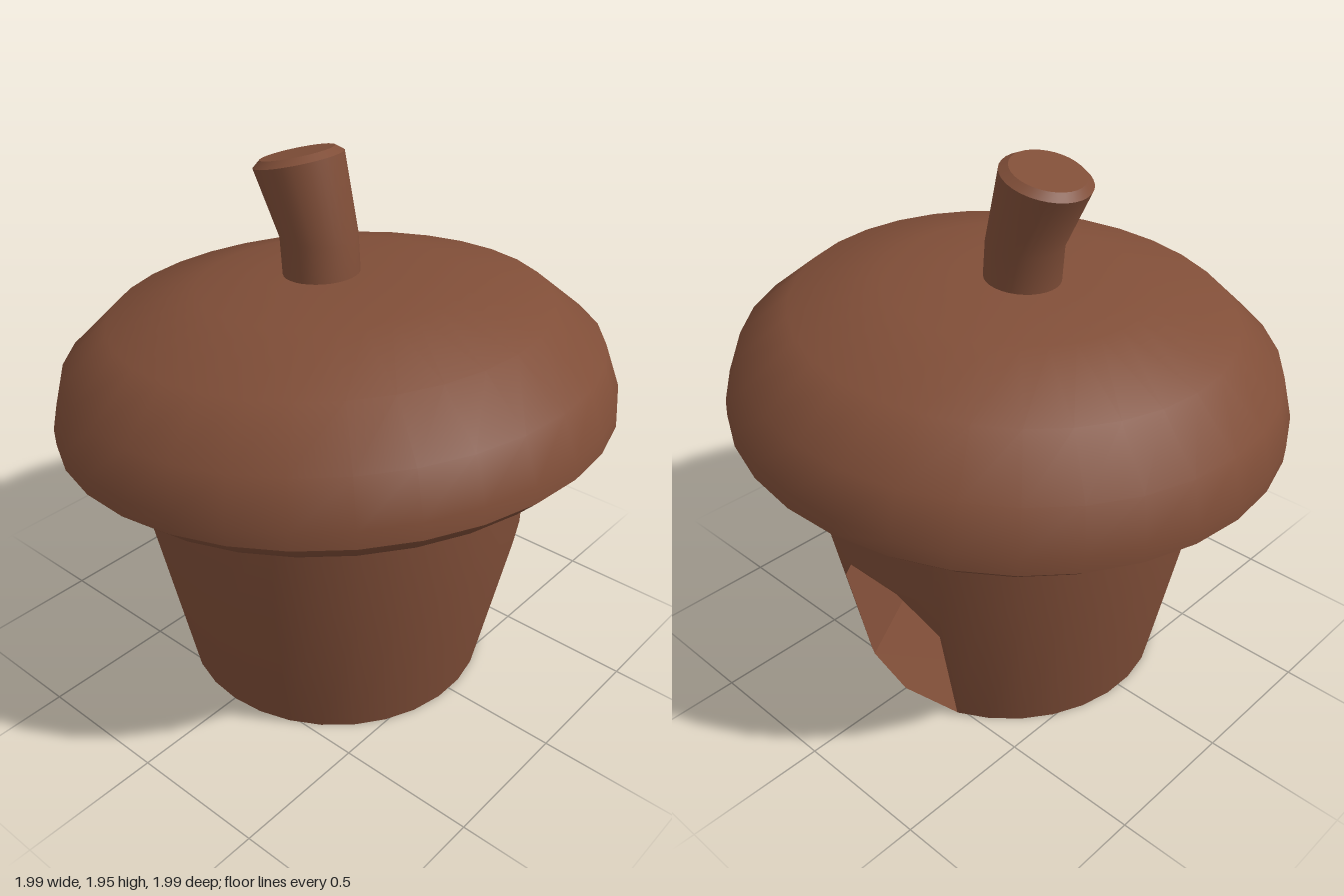
import * as THREE from 'three';
import { toCreasedNormals } from 'three/addons/utils/BufferGeometryUtils.js';

const V = (x, y, z) => new THREE.Vector3(x, y, z);
const SIDES = 32;
const TILT = THREE.MathUtils.degToRad(4.2);

// Skins closed rings of equal length, bottom to top; optional fans close the ends.
function loft(rings, { bottom = false, top = false, crease = 0.6 } = {}) {
  const n = rings[0].length;
  const pos = rings.flat().flatMap((p) => [p.x, p.y, p.z]);
  const index = [];
  for (let r = 0; r < rings.length - 1; r++) {
    for (let j = 0; j < n; j++) {
      const a = r * n + j, b = r * n + (j + 1) % n;
      index.push(a, a + n, b, b, a + n, b + n);
    }
  }
  const fan = (r, up) => {
    const c = rings[r].reduce((s, p) => s.add(p), V(0, 0, 0)).divideScalar(n);
    const k = pos.length / 3;
    pos.push(c.x, c.y, c.z);
    for (let j = 0; j < n; j++) {
      const a = r * n + j, b = r * n + (j + 1) % n;
      index.push(k, up ? b : a, up ? a : b);
    }
  };
  if (bottom) fan(0, false);
  if (top) fan(rings.length - 1, true);
  const g = new THREE.BufferGeometry();
  g.setAttribute('position', new THREE.Float32BufferAttribute(pos, 3));
  g.setIndex(index);
  return toCreasedNormals(g, crease);
}

// Circle centred at (x, y), leaning about z by the given angle.
function circle(x, y, r, lean = 0) {
  return Array.from({ length: SIDES }, (_, i) => {
    const t = (i / SIDES) * Math.PI * 2;
    return V(r * Math.sin(t), 0, -r * Math.cos(t))
      .applyAxisAngle(V(0, 0, 1), lean).add(V(x, y, 0));
  });
}

// Tapered wall radius at a height.
const wallRadius = (y) => (y < 0.6 ? 0.57 + (0.125 * y) / 0.6 : 0.695 + 0.02 * (y - 0.6));

export function createModel() {
  const group = new THREE.Group();
  const material = new THREE.MeshStandardMaterial({ color: 0x804e38, side: THREE.DoubleSide });
  const add = (name, geometry) => {
    const mesh = new THREE.Mesh(geometry, material);
    mesh.name = name;
    group.add(mesh);
    return mesh;
  };

  // Outer wall: columns of [angle, lower edge]; the first four form the door arch at the back.
  const columns = [[-22.3, 0.43], [-10, 0.585], [10, 0.585], [22.3, 0.43]];
  for (let a = 24; a <= 336; a += 12) columns.push([a, 0]);
  const wallRing = (height) => columns.map(([deg, low]) => {
    const t = THREE.MathUtils.degToRad(deg), y = height ?? low, r = wallRadius(y);
    return V(r * Math.sin(t), y, -r * Math.cos(t));
  });
  add('outerWall', loft([wallRing(), wallRing(0.6), wallRing(1.04)]));

  // Six-sided room, following the taper of the wall.
  const corners = [[0.23, -0.52], [0.53, 0.03], [0.31, 0.4], [-0.31, 0.4], [-0.53, 0.03], [-0.23, -0.52]];
  const roomRing = (y) => corners.map(([x, z]) => {
    const s = wallRadius(y) / 0.57;
    return V(x * s, y, z * s);
  });
  // Side panels stop at the doorway; the panel above it is closed.
  const lower = [];
  const low = roomRing(0), mid = roomRing(0.6);
  for (let i = 0; i < 5; i++) {
    for (const p of [low[i], low[i + 1], mid[i], low[i + 1], mid[i + 1], mid[i]]) lower.push(p.x, p.y, p.z);
  }
  const panels = new THREE.BufferGeometry();
  panels.setAttribute('position', new THREE.Float32BufferAttribute(lower, 3));
  panels.computeVertexNormals();
  add('roomWall', panels);
  add('roomCeiling', loft([mid, roomRing(1.0)], { top: true, crease: 0.1 }));

  // Floor with a shallow threshold at the door.
  const floorShape = new THREE.Shape([...corners, [0, -0.565]].map(([x, z]) => new THREE.Vector2(x, z)));
  add('floor', new THREE.ShapeGeometry(floorShape).rotateX(Math.PI / 2));

  // Tilted cap: radius and height pairs around the pivot.
  const capProfile = [[0.66, -0.12], [0.915, -0.07], [0.997, 0.005], [0.997, 0.065], [0.95, 0.22],
    [0.777, 0.375], [0.46, 0.465], [0.22, 0.488]];
  const cap = add('cap', loft(capProfile.map(([r, y]) => circle(0, y, r)), { top: true }));
  cap.position.y = 1.04;
  cap.rotation.z = TILT;

  // Bent stem, flaring towards its cut end.
  add('stem', loft([
    circle(-0.06, 1.48, 0.135, 0.05),
    circle(-0.075, 1.655, 0.135, 0.06),
    circle(-0.165, 1.9, 0.158, 0.26),
    circle(-0.171, 1.921, 0.13, 0.26),
  ], { top: true }));

  return group;
}
